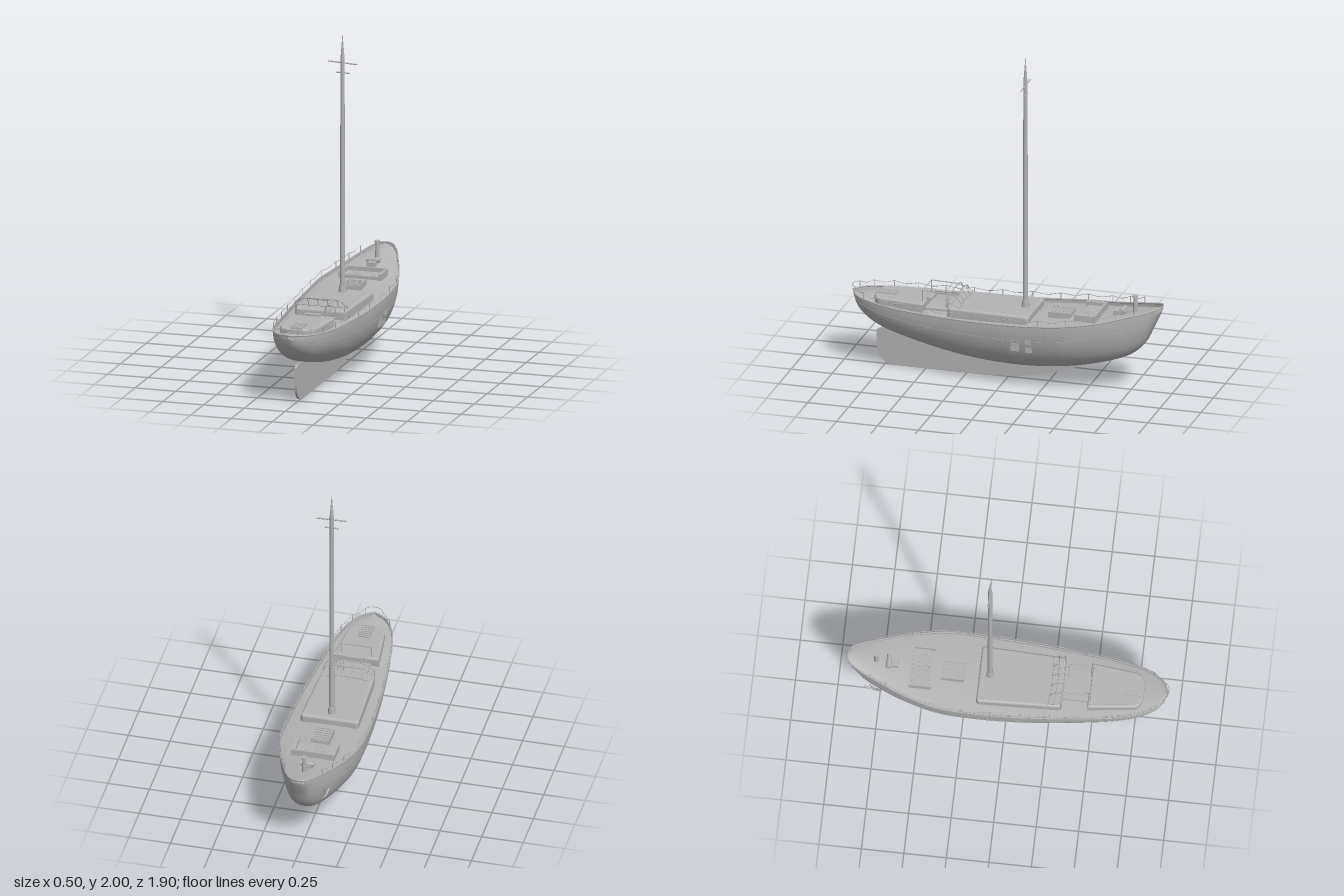
import * as THREE from 'three';

const grey = new THREE.MeshStandardMaterial({ color: 0xb4b4b4, side: THREE.DoubleSide });
grey.name = 'plain grey';

const V = (x, y, z) => new THREE.Vector3(x, y, z);

// Hull stations from bow to stern: z, half beam, keel height, sheer height
const stations = [
  [-0.945, 0, 0.535, 0.54], [-0.93, 0.045, 0.49, 0.536], [-0.89, 0.075, 0.405, 0.525],
  [-0.84, 0.1, 0.305, 0.512], [-0.75, 0.135, 0.225, 0.492], [-0.6, 0.19, 0.17, 0.46],
  [-0.4, 0.238, 0.128, 0.435], [-0.2, 0.245, 0.107, 0.418], [0, 0.24, 0.105, 0.41],
  [0.2, 0.227, 0.12, 0.407], [0.4, 0.208, 0.152, 0.408], [0.6, 0.185, 0.2, 0.414],
  [0.75, 0.155, 0.245, 0.424], [0.85, 0.115, 0.3, 0.432], [0.91, 0.07, 0.36, 0.438],
  [0.945, 0, 0.435, 0.445],
];
const sheer = new THREE.CatmullRomCurve3(stations.map(([z, b, , s]) => V(b, s, z)), false, 'catmullrom', 0.5);
const keelLine = new THREE.CatmullRomCurve3(stations.map(([z, , k]) => V(0, k, z)), false, 'catmullrom', 0.5);

// Point on the hull skin: u runs bow to stern, v from -1 (right rail) through keel to 1
function hullPoint(u, v) {
  const s = sheer.getPoint(u), k = keelLine.getPoint(u);
  const a = Math.abs(v) * Math.PI / 2;
  return V(Math.sign(v) * Math.max(0, s.x) * Math.sin(a) ** 0.8, k.y + (s.y - k.y) * (1 - Math.cos(a)), s.z);
}

function deckPoint(u, v) {
  const s = sheer.getPoint(u);
  return V(Math.max(0, s.x) * 0.98 * v, s.y - 0.022 + 0.012 * (1 - v * v), s.z);
}

// The u at which the hull reaches a given z
function uAt(z) {
  let lo = 0, hi = 1;
  for (let i = 0; i < 30; i++) {
    const mid = (lo + hi) / 2;
    if (sheer.getPoint(mid).z < z) lo = mid; else hi = mid;
  }
  return lo;
}

// Grid surface over u in 0..1, v in -1..1
function surface(fn, nu, nv, flip) {
  const pos = [], idx = [];
  for (let i = 0; i <= nu; i++)
    for (let j = 0; j <= nv; j++) pos.push(...fn(i / nu, (j / nv) * 2 - 1).toArray());
  for (let i = 0; i < nu; i++)
    for (let j = 0; j < nv; j++) {
      const a = i * (nv + 1) + j, b = a + 1, c = a + nv + 1, d = c + 1;
      if (flip) idx.push(a, c, b, b, c, d); else idx.push(a, b, c, b, d, c);
    }
  const g = new THREE.BufferGeometry();
  g.setAttribute('position', new THREE.Float32BufferAttribute(pos, 3));
  g.setIndex(idx);
  g.computeVertexNormals();
  return g;
}

export function createModel() {
  const root = new THREE.Group();
  root.name = 'sailingBoat';
  const add = (name, geo, x = 0, y = 0, z = 0) => {
    const m = new THREE.Mesh(geo, grey);
    m.name = name;
    m.position.set(x, y, z);
    root.add(m);
    return m;
  };
  const box = (name, w, h, d, x, y, z) => add(name, new THREE.BoxGeometry(w, h, d), x, y, z);
  const cyl = (name, r1, r2, h, x, y, z, n = 16) => add(name, new THREE.CylinderGeometry(r1, r2, h, n), x, y, z);
  const tube = (name, pts, r, n = 24) =>
    add(name, new THREE.TubeGeometry(new THREE.CatmullRomCurve3(pts, false, 'centripetal'), n, r, 6));
  const rod = (name, a, b, r) =>
    add(name, new THREE.TubeGeometry(new THREE.LineCurve3(a, b), 1, r, 6));

  // Hull and cambered deck
  add('hull', surface(hullPoint, 90, 40, true));
  add('deck', surface(deckPoint, 90, 12, false)).geometry.computeVertexNormals();

  // Keel fin, profile drawn as (-z, y)
  const fin = new THREE.Shape();
  fin.moveTo(-0.8, 0.21);
  fin.lineTo(-0.8, 0.11);
  fin.quadraticCurveTo(-0.79, 0.005, -0.69, 0);
  fin.lineTo(-0.08, 0);
  fin.quadraticCurveTo(0.26, 0.015, 0.56, 0.17);
  fin.lineTo(0.2, 0.14);
  fin.lineTo(-0.2, 0.15);
  fin.lineTo(-0.6, 0.22);
  fin.lineTo(-0.77, 0.225);
  const finGeo = new THREE.ExtrudeGeometry(fin, { depth: 0.014, bevelEnabled: false, curveSegments: 16 });
  finGeo.rotateY(Math.PI / 2).translate(-0.007, 0, 0);
  add('keelFin', finGeo);

  // Cap rail, rubbing strake, lifelines and portlights on both sides
  const posts = [-0.8, -0.7, -0.58, -0.42, -0.25, -0.08, 0.1, 0.27, 0.44, 0.6, 0.74, 0.85, 0.92];
  for (const s of [-1, 1]) {
    const along = (v, out, u0, u1) => Array.from({ length: 50 }, (_, i) => {
      const p = hullPoint(u0 + (u1 - u0) * i / 49, v * s);
      p.x += out * s;
      return p;
    });
    tube('capRail', along(1, -0.002, 0, 1), 0.005, 100);
    tube('rubbingStrake', along(0.8, -0.001, 0.04, 0.96), 0.0025, 100);

    const tops = posts.map((z) => {
      const p = hullPoint(uAt(z), s);
      p.x -= 0.004 * s;
      const top = p.clone().add(V(0, 0.04, 0));
      rod('stanchion', p, top, 0.0025);
      return top;
    });
    for (let i = 1; i < tops.length; i++) {
      const mid = tops[i - 1].clone().lerp(tops[i], 0.5);
      mid.y -= 0.014;
      mid.x += 0.004 * s;
      tube('lifeline', [tops[i - 1], mid, tops[i]], 0.0018, 8);
    }
    if (s === 1) {
      const e = tops[tops.length - 1];
      tube('sternRail', [e, V(0.03, e.y, 0.942), V(-0.03, e.y, 0.942), V(-e.x, e.y, e.z)], 0.002, 12);
    }
    for (const z of [0.43, 0.28, 0.08, -0.05, -0.3, -0.4]) {
      const p = hullPoint(uAt(z), 0.75 * s);
      add('portlight', new THREE.CylinderGeometry(0.014, 0.014, 0.008, 20).rotateZ(Math.PI / 2), p.x, 0.337, z);
    }
  }

  // Deck houses, outlined in plan as half of (x, z) and mirrored
  const house = (name, half, top, depth, bevel) => {
    const pts = [...half, ...half.map(([x, z]) => [-x, z]).reverse()];
    const shape = new THREE.Shape(pts.map(([x, z]) => new THREE.Vector2(x, z)));
    const g = new THREE.ExtrudeGeometry(shape, {
      depth: depth - bevel, bevelSize: bevel, bevelThickness: bevel, bevelOffset: -bevel, bevelSegments: 4,
    });
    add(name, g.rotateX(Math.PI / 2), 0, top - bevel, 0);
  };
  house('mainCabin', [[0.16, -0.17], [0.174, -0.158], [0.172, -0.1], [0.157, 0.31], [0.15, 0.33]], 0.449, 0.06, 0.014);
  house('aftCabin', [[0.138, 0.48], [0.137, 0.5], [0.108, 0.76], [0.09, 0.785], [0.05, 0.8]], 0.449, 0.06, 0.012);
  box('cockpitSole', 0.18, 0.012, 0.16, 0, 0.404, 0.405);
  box('aftHatch', 0.1, 0.012, 0.035, 0, 0.452, 0.468);
  for (let i = 0; i < 7; i++) box('hatchSlat', 0.076, 0.008, 0.012, 0, 0.452, 0.68 + i * 0.019);

  // Spray hood frame over the cockpit
  const hoop = (name, w, y, z, sag) => tube(name,
    [V(-w, y - sag, z - 0.005), V(-w * 0.8, y, z), V(0, y + 0.004, z + 0.006), V(w * 0.8, y, z), V(w, y - sag, z - 0.005)], 0.003);
  hoop('hoodTopHoop', 0.15, 0.508, 0.325, 0.03);
  hoop('hoodMidHoop', 0.155, 0.495, 0.29, 0.03);
  hoop('hoodBaseHoop', 0.155, 0.45, 0.255, 0.003);
  for (const x of [-0.15, -0.09, -0.03, 0.03, 0.09, 0.15]) {
    const t = Math.abs(x) > 0.12 ? 0.482 : 0.51;
    tube('hoodRib', [V(x, 0.448, 0.255), V(x, t - 0.014, 0.288), V(x, t, 0.327)], 0.0025, 10);
  }
  for (const s of [-1, 1]) {
    rod('awningPost', V(s * 0.09, 0.41, 0.495), V(s * 0.09, 0.517, 0.495), 0.003);
    rod('awningRail', V(s * 0.09, 0.517, 0.495), V(s * 0.09, 0.512, 0.325), 0.003);
    rod('hoodPost', V(s * 0.15, 0.41, 0.325), V(s * 0.15, 0.48, 0.325), 0.003);
  }
  rod('awningCrossbar', V(-0.09, 0.517, 0.495), V(0.09, 0.517, 0.495), 0.003);
  add('steeringWheel', new THREE.TorusGeometry(0.032, 0.003, 6, 24), 0.07, 0.455, 0.35);
  for (let i = 0; i < 3; i++) {
    box('wheelSpoke', 0.064, 0.003, 0.003, 0.07, 0.455, 0.35).rotation.z = i * Math.PI / 3;
  }

  // Mast with collar, tapered head and two spreaders
  cyl('mastCollar', 0.02, 0.024, 0.05, 0, 0.465, -0.105);
  cyl('mast', 0.0125, 0.0155, 1.43, 0, 1.135, -0.105);
  cyl('mastHead', 0.001, 0.0125, 0.15, 0, 1.925, -0.105);
  rod('upperSpreader', V(-0.09, 1.835, -0.108), V(0.092, 1.827, -0.105), 0.004);
  rod('lowerSpreader', V(-0.04, 1.772, -0.105), V(0.042, 1.77, -0.105), 0.004);

  // Slatted skylight on the foredeck
  box('skylightBase', 0.11, 0.03, 0.135, 0, 0.43, -0.325);
  for (const s of [-1, 1]) {
    for (let i = 0; i < 6; i++) box('skylightBar', 0.045, 0.006, 0.008, s * 0.027, 0.448, -0.38 + i * 0.022);
    box('skylightEdge', 0.006, 0.008, 0.135, s * 0.052, 0.448, -0.325);
  }

  // Companion hood: two side walls, a curved back and a seat
  for (const s of [-1, 1]) box('hoodSideWall', 0.02, 0.04, 0.13, s * 0.12, 0.458, -0.505);
  const arc = new THREE.CylinderGeometry(0.11, 0.11, 0.22, 16, 1, true, Math.PI, Math.PI / 2);
  arc.rotateZ(Math.PI / 2).scale(1, 0.35, 1);
  box('hoodBack', 0.24, 0.045, 0.012, 0, 0.46, -0.564);
  box('hoodSeat', 0.22, 0.02, 0.11, 0, 0.447, -0.51);
  for (let i = 0; i < 7; i++) {
    const a = Math.PI * (0.12 + 0.76 * i / 6);
    rod('seatBatten', V(0, 0.457, -0.46), V(Math.cos(a) * 0.09, 0.457, -0.46 - Math.sin(a) * 0.09), 0.0015);
  }

  // Windlass and bollard
  box('windlassBase', 0.05, 0.03, 0.08, 0, 0.474, -0.685);
  add('windlassDrum', new THREE.CylinderGeometry(0.015, 0.015, 0.08, 14).rotateZ(Math.PI / 2), 0, 0.492, -0.7);
  cyl('bollard', 0.011, 0.014, 0.12, 0, 0.528, -0.775);
  cyl('bollardCap', 0.016, 0.016, 0.01, 0, 0.585, -0.775);

  // Side hatch with fittings on the left side
  const u0 = uAt(-0.22), u1 = uAt(-0.07);
  add('sideHatch', surface((u, v) => {
    const p = hullPoint(u0 + (u1 - u0) * u, 0.66 + 0.14 * v);
    return p.add(V(0.003, -0.001, 0));
  }, 8, 8, true));
  for (const [y, z, h, d] of [[0.32, -0.19, 0.03, 0.04], [0.27, -0.19, 0.04, 0.04], [0.3, -0.11, 0.09, 0.05]])
    box('hatchFitting', 0.014, h, d, 0.232 - (0.32 - y) * 0.2, y, z);

  // Bow anchor on the right side
  const a = hullPoint(uAt(-0.78), -0.66);
  rod('anchorShank', V(a.x - 0.014, a.y + 0.03, -0.8), V(a.x - 0.014, a.y - 0.03, -0.77), 0.005);
  tube('anchorFlukes', [V(a.x - 0.012, a.y - 0.01, -0.83), V(a.x - 0.016, a.y - 0.035, -0.78), V(a.x - 0.03, a.y - 0.01, -0.73)], 0.006, 12);

  return root;
}
